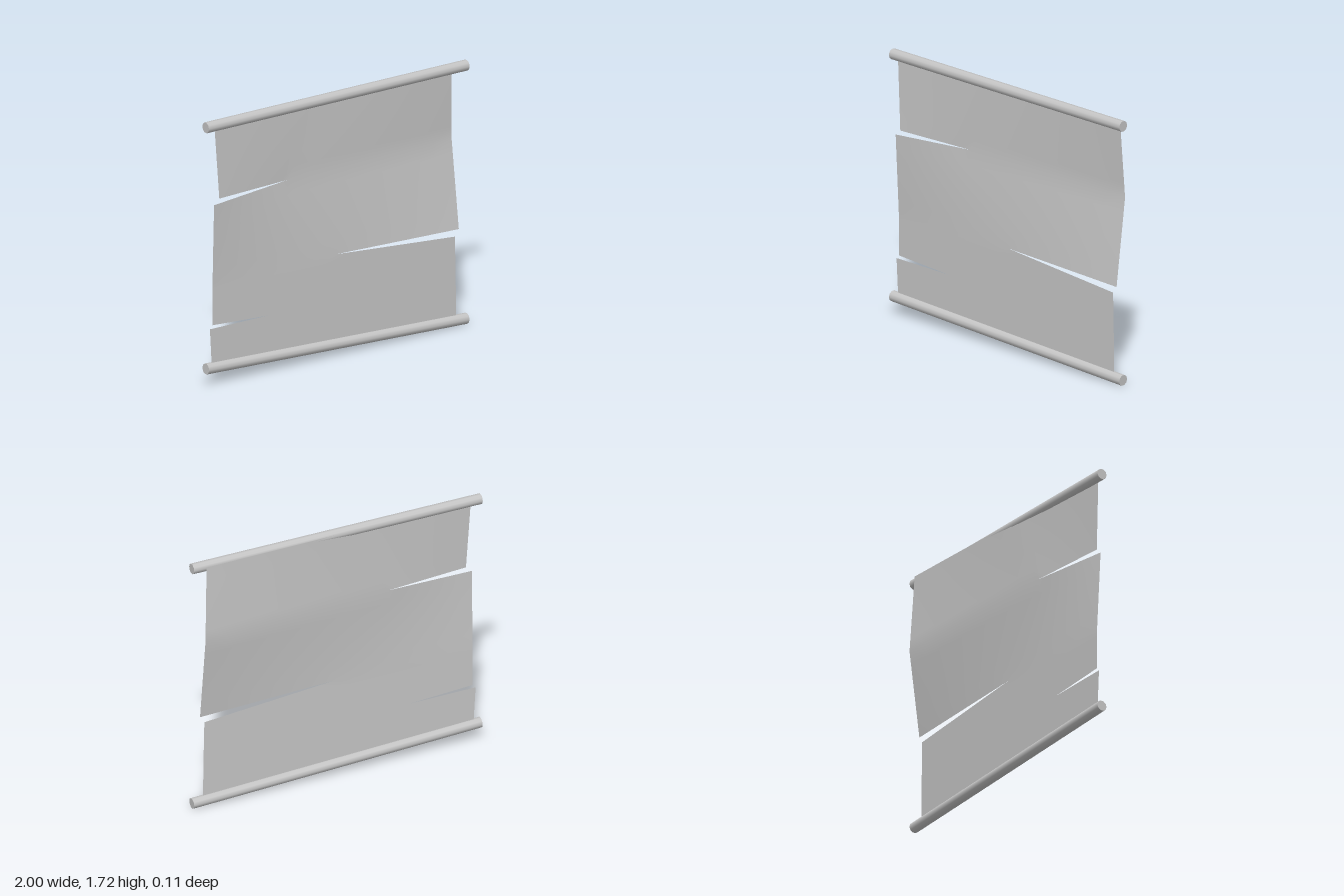
import * as THREE from 'three';
import { mergeGeometries, mergeVertices } from 'three/addons/utils/BufferGeometryUtils.js';

const gray = new THREE.MeshStandardMaterial({ color: 0xc4c4c4, side: THREE.DoubleSide });
gray.name = 'plain gray';

// Point on a three-point row, u from 0 (right hand, -x) to 1 (left hand, +x)
function along(row, u) {
  const i = u < 0.5 ? 0 : 1;
  return new THREE.Vector3(...row[i]).lerp(new THREE.Vector3(...row[i + 1]), u * 2 - i);
}

// Cloth panel stretched between an upper and a lower row
function panel(upper, lower, nx = 16, ny = 6) {
  const geo = new THREE.PlaneGeometry(1, 1, nx, ny);
  const pos = geo.attributes.position;
  for (let i = 0; i < pos.count; i++) {
    const u = (i % (nx + 1)) / nx, v = Math.floor(i / (nx + 1)) / ny;
    const p = along(upper, u).lerp(along(lower, u), v);
    pos.setXYZ(i, p.x, p.y, p.z);
  }
  geo.deleteAttribute('uv');
  geo.deleteAttribute('normal');
  return geo;
}

// Round pole between the heights of its two ends
function pole(name, yRight, yLeft) {
  const geo = new THREE.CylinderGeometry(0.035, 0.035, 1.995, 10);
  geo.rotateZ(Math.PI / 2);
  const mesh = new THREE.Mesh(geo, gray);
  mesh.name = name;
  mesh.position.set(0, (yRight + yLeft) / 2, 0.02);
  mesh.rotation.z = Math.atan2(yLeft - yRight, 2);
  return mesh;
}

export function createModel() {
  const group = new THREE.Group();
  group.name = 'tornBanner';
  group.add(pole('topPole', 1.695, 1.695), pole('bottomPole', 0.117, 0.038));

  // Each pair is the upper and lower row of a panel; outer ends part at the tears
  const panels = [
    [[[-0.94, 1.7, 0.033], [-0.05, 1.705, -0.01], [0.92, 1.71, -0.03]],
      [[-0.91, 1.22, 0.043], [-0.35, 1.217, 0], [0.94, 1.2, -0.055]]],
    [[[-0.95, 1.185, 0.043], [-0.35, 1.217, 0], [0.94, 1.2, -0.055]],
      [[-0.945, 0.66, 0.02], [0, 0.662, 0.02], [0.94, 0.633, 0.02]]],
    [[[-0.945, 0.66, 0.02], [0, 0.662, 0.02], [0.91, 0.59, 0.02]],
      [[-0.945, 0.392, 0.02], [-0.51, 0.368, 0.02], [0.915, 0.36, 0.02]]],
    [[[-0.965, 0.37, 0.02], [-0.51, 0.368, 0.02], [0.915, 0.36, 0.02]],
      [[-0.95, 0.115, 0.02], [-0.5, 0.097, 0.02], [0.92, 0.04, 0.02]]],
  ];
  const cloth = mergeVertices(mergeGeometries(panels.map(([a, b]) => panel(a, b))), 1e-4);
  cloth.computeVertexNormals();
  const sheet = new THREE.Mesh(cloth, gray);
  sheet.name = 'tornSheet';
  group.add(sheet);
  return group;
}
